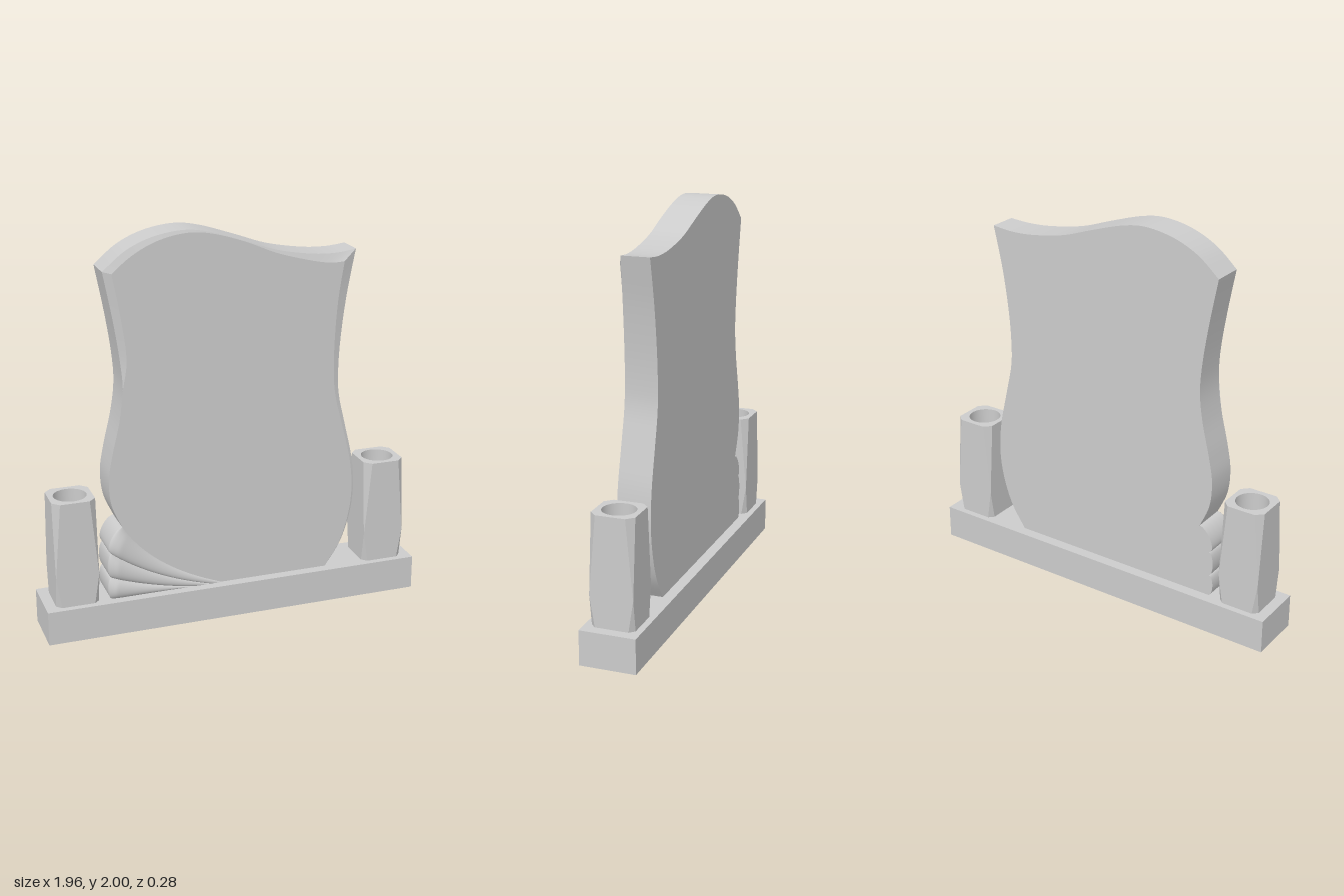
import * as THREE from 'three';

const BASE = 0.175, BACK = -0.085, FRONT = 0.088;
const stone = new THREE.MeshStandardMaterial({ color: 0xcccccc });
const facetedStone = new THREE.MeshStandardMaterial({ color: 0xcccccc, flatShading: true });
const innerStone = new THREE.MeshStandardMaterial({ color: 0xcccccc, side: THREE.BackSide });

function add(parent, name, geometry, material = stone) {
  const mesh = new THREE.Mesh(geometry, material);
  mesh.name = name;
  parent.add(mesh);
  return mesh;
}

// Surface through point(u, v); it faces along du x dv
function surface(point, nu, nv) {
  const pos = [], index = [];
  for (let i = 0; i <= nu; i++)
    for (let j = 0; j <= nv; j++) pos.push(...point(i / nu, j / nv));
  for (let i = 0; i < nu; i++)
    for (let j = 0; j < nv; j++) {
      const a = i * (nv + 1) + j, b = a + nv + 1;
      index.push(a, b, b + 1, a, b + 1, a + 1);
    }
  const g = new THREE.BufferGeometry();
  g.setAttribute('position', new THREE.Float32BufferAttribute(pos, 3));
  g.setIndex(index);
  g.computeVertexNormals();
  return g;
}

// Slab sides, counter-clockwise: outer x, y, then inset of the front face in x, y
const sides = {
  leftSide: [[0.5, BASE, 0, 0], [0.58, 0.3, -0.004, 0], [0.63, 0.45, -0.007, 0], [0.648, 0.6, -0.01, 0],
    [0.635, 0.76, -0.013, 0], [0.592, 0.95, -0.018, 0], [0.558, 1.1, -0.022, 0], [0.55, 1.22, -0.027, 0],
    [0.56, 1.4, -0.037, 0], [0.59, 1.62, -0.053, -0.015], [0.637, 1.84, -0.072, -0.05]],
  topSide: [[0.637, 1.84, -0.072, -0.05], [0.53, 1.83, -0.035, -0.042], [0.4, 1.837, -0.01, -0.03],
    [0.22, 1.87, -0.003, -0.014], [0.05, 1.928, 0, -0.003], [-0.12, 1.982, 0, -0.006], [-0.25, 2, 0, -0.015],
    [-0.4, 1.977, 0.012, -0.022], [-0.53, 1.92, 0.024, -0.025], [-0.64, 1.83, 0.04, -0.01]],
  rightSide: [[-0.64, 1.83, 0.04, -0.01], [-0.597, 1.6, 0.037, 0], [-0.568, 1.4, 0.03, 0], [-0.56, 1.25, 0, 0],
    [-0.58, 1.1, 0, 0], [-0.62, 0.93, 0, 0], [-0.641, 0.8, 0, 0], [-0.63, 0.67, 0, 0], [-0.58, 0.55, 0, 0]],
};

// Edges between the fan flutes, from the top one down
const fanEdges = [
  [-0.58, 0.55, -0.435, 0.3075, -0.07, BASE],
  [-0.635, 0.42, -0.42, 0.2525, -0.13, BASE],
  [-0.64, 0.29, -0.43, 0.2075, -0.22, BASE],
  [-0.64, BASE, -0.49, BASE, -0.34, BASE],
].map(([a, b, c, d, e, f]) => new THREE.QuadraticBezierCurve(
  new THREE.Vector2(a, b), new THREE.Vector2(c, d), new THREE.Vector2(e, f)));

function flutePoint(i, s, t) {
  const a = Math.PI * t;
  const p = fanEdges[i].getPoint(s).lerp(fanEdges[i + 1].getPoint(s), (1 - Math.cos(a)) / 2);
  const height = 0.033 * Math.min(1, Math.sqrt(s / 0.1)) * (1 - 0.85 * s);
  const bulge = (i === 0 ? 0.037 : 0.023) * (1 - s);
  return [p.x - bulge * Math.sin(a), p.y, FRONT + height * Math.sin(a)];
}

function makeSlab() {
  const slab = new THREE.Group();
  slab.name = 'headstone';
  const outline = [], face = [], N = 60;
  for (const [name, rows] of Object.entries(sides)) {
    const outer = new THREE.SplineCurve(rows.map(r => new THREE.Vector2(r[0], r[1])));
    const inner = new THREE.SplineCurve(rows.map(r => new THREE.Vector2(r[0] + r[2], r[1] + r[3])));
    // The chamfer gets deeper where it is wider
    const rim = u => {
      const o = outer.getPoint(u), n = inner.getPoint(u);
      return [o.x, o.y, FRONT - 0.38 * o.distanceTo(n)];
    };
    add(slab, name, surface((u, v) => {
      const [x, y, z] = rim(u);
      return [x, y, BACK + (z - BACK) * v];
    }, N, 1));
    add(slab, name + 'Chamfer', surface((u, v) => {
      const n = inner.getPoint(u);
      return v ? [n.x, n.y, FRONT] : rim(u);
    }, N, 1));
    outline.push(...outer.getPoints(N).slice(0, -1));
    face.push(...inner.getPoints(N).slice(0, -1));
  }
  // Fluted fan in the lower corner, its scalloped end running through to the back
  for (let i = 0; i < 3; i++) {
    add(slab, 'fanFlute', surface((u, v) => flutePoint(i, v * v, u), 18, 30));
    add(slab, 'scallopedEdge', surface((u, v) => {
      const [x, y] = flutePoint(i, 0, u);
      return [x, y, v ? FRONT : BACK];
    }, 18, 1));
    for (let k = 0; k < 18; k++) {
      const [x, y] = flutePoint(i, 0, k / 18);
      outline.push(new THREE.Vector2(x, y));
      face.push(new THREE.Vector2(x, y));
    }
  }
  outline.push(new THREE.Vector2(-0.64, BASE));
  face.push(new THREE.Vector2(-0.64, BASE));
  add(slab, 'frontFace', new THREE.ShapeGeometry(new THREE.Shape(face))).position.z = FRONT;
  // Back face is the outline mirrored and turned round
  const back = new THREE.Shape(outline.map(p => new THREE.Vector2(-p.x, p.y)));
  const backFace = add(slab, 'backFace', new THREE.ShapeGeometry(back));
  backFace.rotation.y = Math.PI;
  backFace.position.z = BACK;
  return slab;
}

// Square with its corners cut by c, as eight points
function cutSquare(h, c) {
  const pts = [];
  for (let k = 0; k < 4; k++)
    for (const [x, y] of [[h, h - c], [h - c, h]]) {
      pts.push(new THREE.Vector2(x, y).rotateAround(new THREE.Vector2(), k * Math.PI / 2));
    }
  return pts;
}

function makeVase(x) {
  const vase = new THREE.Group();
  vase.name = 'vase';
  const half = 0.108, top = 0.72, radius = 0.082, depth = 0.3;
  // Corner cuts narrow to nothing a third of the way up
  const levels = [[BASE, 0.025], [0.33, 0.0005], [top, 0.035]];
  const rings = levels.map(([, c]) => cutSquare(half, c));
  add(vase, 'vaseBody', surface((u, v) => {
    const j = Math.round(v * 2), p = rings[j][Math.round(u * 8) % 8];
    return [p.x, levels[j][0], -p.y];
  }, 8, 2), facetedStone);
  const rim = new THREE.Shape(rings[2]);
  rim.holes.push(new THREE.Path().absarc(0, 0, radius, 0, Math.PI * 2, true));
  const rimMesh = add(vase, 'vaseRim', new THREE.ShapeGeometry(rim, 24));
  rimMesh.rotation.x = -Math.PI / 2;
  rimMesh.position.y = top;
  add(vase, 'vaseHole', new THREE.CylinderGeometry(radius, radius, depth, 48, 1, true), innerStone)
    .position.y = top - depth / 2;
  const floor = add(vase, 'vaseHoleFloor', new THREE.CircleGeometry(radius, 48));
  floor.rotation.x = -Math.PI / 2;
  floor.position.y = top - depth;
  vase.position.x = x;
  return vase;
}

export function createModel() {
  const model = new THREE.Group();
  model.name = 'memorial';
  add(model, 'base', new THREE.BoxGeometry(1.956, BASE, 0.28)).position.y = BASE / 2;
  model.add(makeSlab(), makeVase(-0.816), makeVase(0.816));
  return model;
}
